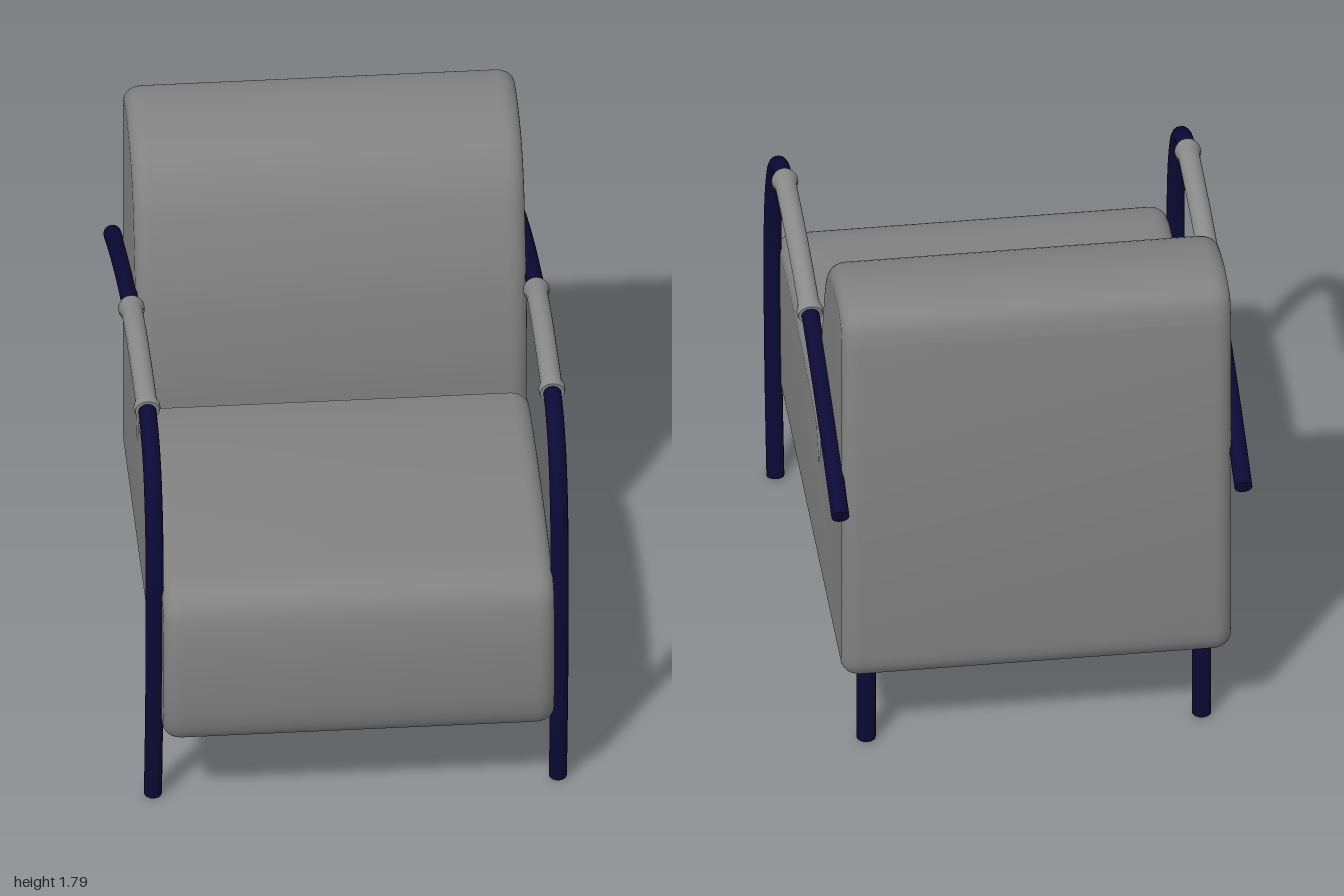
import * as THREE from 'three';
import { toCreasedNormals } from 'three/addons/utils/BufferGeometryUtils.js';

const fabric = new THREE.MeshStandardMaterial({ color: 0x828282 });
const padding = new THREE.MeshStandardMaterial({ color: 0x8c8c8c });
const navy = new THREE.MeshStandardMaterial({ color: 0x0a0a36 });

const v2 = (list) => list.map(([a, b]) => new THREE.Vector2(a, b));

// Upholstered body: side profile (z, y) extruded across the width with soft edges
function makeBody() {
  const s = new THREE.Shape();
  s.moveTo(-0.77, 0.3);
  s.lineTo(0.86, 0.3);
  // rounded seat front and gently domed seat top
  s.splineThru(v2([[0.925, 0.33], [0.96, 0.42], [0.972, 0.58], [0.965, 0.74], [0.935, 0.85],
    [0.86, 0.9], [0.7, 0.917], [0.4, 0.93], [0.1, 0.922], [-0.08, 0.907], [-0.18, 0.89]]));
  // narrow crease between seat and back
  s.lineTo(-0.2, 0.8);
  // curved backrest
  s.splineThru(v2([[-0.201, 1.02], [-0.235, 1.29], [-0.295, 1.5], [-0.36, 1.64],
    [-0.46, 1.735], [-0.62, 1.778], [-0.76, 1.775], [-0.83, 1.74], [-0.857, 1.66]]));
  s.lineTo(-0.857, 0.4);
  s.quadraticCurveTo(-0.857, 0.3, -0.77, 0.3);
  const width = 1.3, thick = 0.06, inset = 0.048;
  const geo = new THREE.ExtrudeGeometry(s, {
    depth: width - 2 * thick, curveSegments: 5, bevelEnabled: true,
    bevelThickness: thick, bevelSize: inset, bevelOffset: -inset, bevelSegments: 6,
  });
  geo.translate(0, 0, -(width / 2 - thick));
  geo.rotateY(-Math.PI / 2);
  const mesh = new THREE.Mesh(toCreasedNormals(geo, 0.7), fabric);
  mesh.name = 'seatAndBack';
  return mesh;
}

// Capped tube whose radius may vary along its length
function makeRod(name, curve, radiusAt, segments, material) {
  const g = new THREE.Group();
  g.name = name;
  const sides = 16;
  const geo = new THREE.TubeGeometry(curve, segments, 1, sides, false);
  const p = geo.attributes.position, n = geo.attributes.normal;
  for (let i = 0; i < p.count; i++) {
    const k = radiusAt(Math.floor(i / (sides + 1)) / segments) - 1;
    p.setXYZ(i, p.getX(i) + n.getX(i) * k, p.getY(i) + n.getY(i) * k, p.getZ(i) + n.getZ(i) * k);
  }
  geo.computeBoundingSphere();
  g.add(new THREE.Mesh(geo, material));
  for (const t of [0, 1]) {
    const cap = new THREE.Mesh(new THREE.CircleGeometry(radiusAt(t), sides), material);
    const dir = curve.getTangentAt(t).multiplyScalar(t ? 1 : -1);
    cap.position.copy(curve.getPointAt(t));
    cap.quaternion.setFromUnitVectors(new THREE.Vector3(0, 0, 1), dir);
    g.add(cap);
  }
  return g;
}

// Bent tube forming front leg and armrest, with a padded sleeve
function makeArm(side) {
  const arm = new THREE.Group();
  arm.name = side > 0 ? 'leftArm' : 'rightArm';
  const path = [[0, 0.765], [0.28, 0.805], [0.55, 0.831], [0.8, 0.84], [1.02, 0.83], [1.18, 0.79],
    [1.29, 0.725], [1.35, 0.64], [1.377, 0.53], [1.38, 0.4], [1.362, 0.1], [1.318, -0.16],
    [1.235, -0.47], [1.145, -0.74], [1.06, -0.96]];
  const curve = new THREE.CatmullRomCurve3(path.map(([y, z]) => new THREE.Vector3(side * 0.673, y, z)));
  arm.add(makeRod('armTube', curve, () => 0.03, 80, navy));

  // sleeve follows the top stretch of the tube
  const stretch = curve.getSpacedPoints(250).filter((q) => q.y > 1.2 && q.z < 0.535 && q.z > -0.175);
  const sleeve = new THREE.CatmullRomCurve3(stretch);
  const flare = (t) => {
    const d = Math.min(t, 1 - t);
    return 0.036 + 0.009 * Math.exp(-(((d - 0.025) / 0.03) ** 2));
  };
  arm.add(makeRod('armSleeve', sleeve, flare, 60, padding));
  return arm;
}

export function createModel() {
  const model = new THREE.Group();
  model.name = 'armchair';
  const chair = new THREE.Group();
  chair.name = 'chair';
  chair.add(makeBody());
  for (const side of [1, -1]) {
    chair.add(makeArm(side));
    // straight rear leg
    const leg = new THREE.Mesh(new THREE.CylinderGeometry(0.032, 0.032, 0.36, 16), navy);
    leg.name = side > 0 ? 'leftRearLeg' : 'rightRearLeg';
    leg.position.set(side * 0.56, 0.18, -0.745);
    chair.add(leg);
  }
  // the chair stands slightly turned
  chair.rotation.y = 0.047;
  model.add(chair);
  return model;
}
